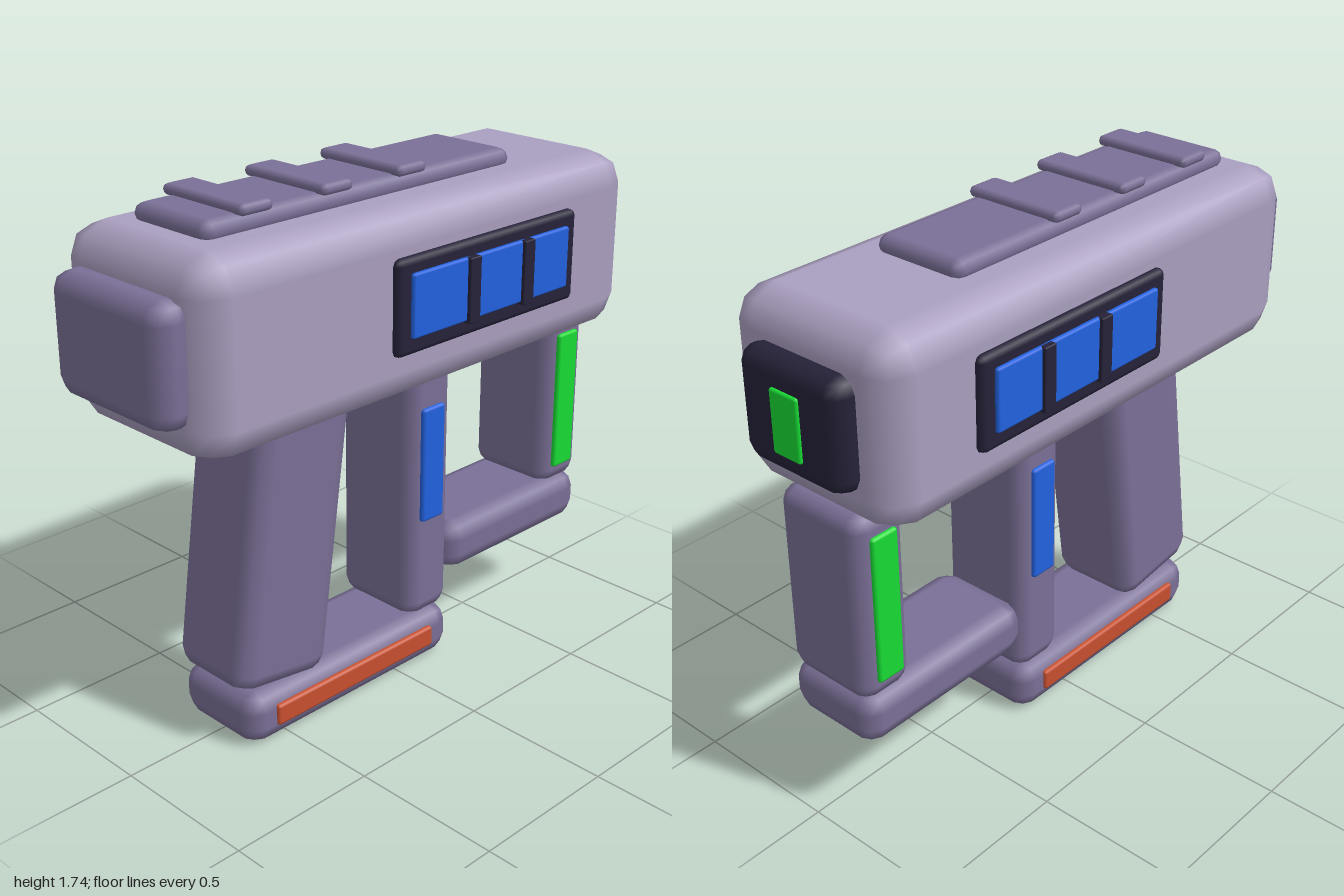
import * as THREE from 'three';
import { RoundedBoxGeometry } from 'three/addons/geometries/RoundedBoxGeometry.js';

const mat = (color) => {
  const m = new THREE.MeshStandardMaterial();
  m.color.set(color);
  return m;
};

export function createModel() {
  const model = new THREE.Group();
  model.name = 'handheldTool';

  const shell = mat(0xaa9fc0), trim = mat(0x7b7097), dark = mat(0x252238);
  const blue = mat(0x2262e0), green = mat(0x18dc34), orange = mat(0xc8502e);

  // Rounded block given by its [min, max] extents on each axis
  function block(name, material, [x0, x1], [y0, y1], [z0, z1], radius) {
    const geometry = new RoundedBoxGeometry(x1 - x0, y1 - y0, z1 - z0, 1, radius);
    const mesh = new THREE.Mesh(geometry, material);
    mesh.name = name;
    mesh.position.set((x0 + x1) / 2, (y0 + y1) / 2, (z0 + z1) / 2);
    model.add(mesh);
    return mesh;
  }
  const centred = (name, material, halfWidth, y, z, radius) =>
    block(name, material, [-halfWidth, halfWidth], y, z, radius);

  // The same block on the left and right sides
  function pair(name, material, [x0, x1], y, z, radius) {
    block('left' + name, material, [x0, x1], y, z, radius);
    block('right' + name, material, [-x1, -x0], y, z, radius);
  }

  // Main housing with nose and rear cap
  centred('housing', shell, 0.325, [1.06, 1.66], [-0.92, 0.91], 0.11);
  centred('nose', trim, 0.25, [1.175, 1.55], [0.86, 1.0], 0.06);
  centred('rearCap', dark, 0.2, [1.19, 1.54], [-0.99, -0.87], 0.05);
  centred('rearLight', green, 0.055, [1.26, 1.46], [-1.0, -0.96], 0.008);

  // Top rail with three cross ribs
  centred('topRail', trim, 0.165, [1.64, 1.71], [-0.49, 0.76], 0.034);
  for (const z of [0.58, 0.275, -0.03]) {
    centred('railRib', trim, 0.175, [1.702, 1.738], [z - 0.06, z + 0.06], 0.017);
  }

  // Side displays: dark frame, blue window, two dividers
  pair('DisplayFrame', dark, [0.29, 0.35], [1.225, 1.525], [-0.6, 0.21], 0.02);
  pair('DisplayWindow', blue, [0.32, 0.363], [1.28, 1.48], [-0.55, 0.16], 0.008);
  for (const z of [-0.095, -0.345]) {
    pair('DisplayDivider', dark, [0.33, 0.375], [1.273, 1.48], [z - 0.024, z + 0.024], 0.004);
  }

  // Slanted grip and trigger
  const grip = centred('grip', trim, 0.165, [0.17, 1.17], [0.256, 0.626], 0.06);
  grip.rotation.x = -0.138;
  centred('trigger', dark, 0.05, [0.96, 1.07], [-0.035, 0.065], 0.03);

  // Base foot
  centred('baseFoot', trim, 0.175, [0, 0.175], [-0.24, 0.66], 0.06);
  pair('BaseStrip', orange, [0.15, 0.185], [0.055, 0.128], [-0.14, 0.56], 0.01);

  // Middle post
  centred('middlePost', trim, 0.165, [0.175, 1.08], [-0.24, -0.045], 0.05);
  pair('MiddleStrip', blue, [0.14, 0.178], [0.53, 0.93], [-0.19, -0.09], 0.01);

  // Rear post and the bar joining it to the middle post
  centred('rearPost', trim, 0.165, [0.445, 1.08], [-0.92, -0.725], 0.05);
  pair('RearStrip', green, [0.14, 0.178], [0.51, 1.01], [-0.87, -0.77], 0.01);
  centred('rearBar', trim, 0.175, [0.28, 0.455], [-0.92, -0.23], 0.06);

  return model;
}
